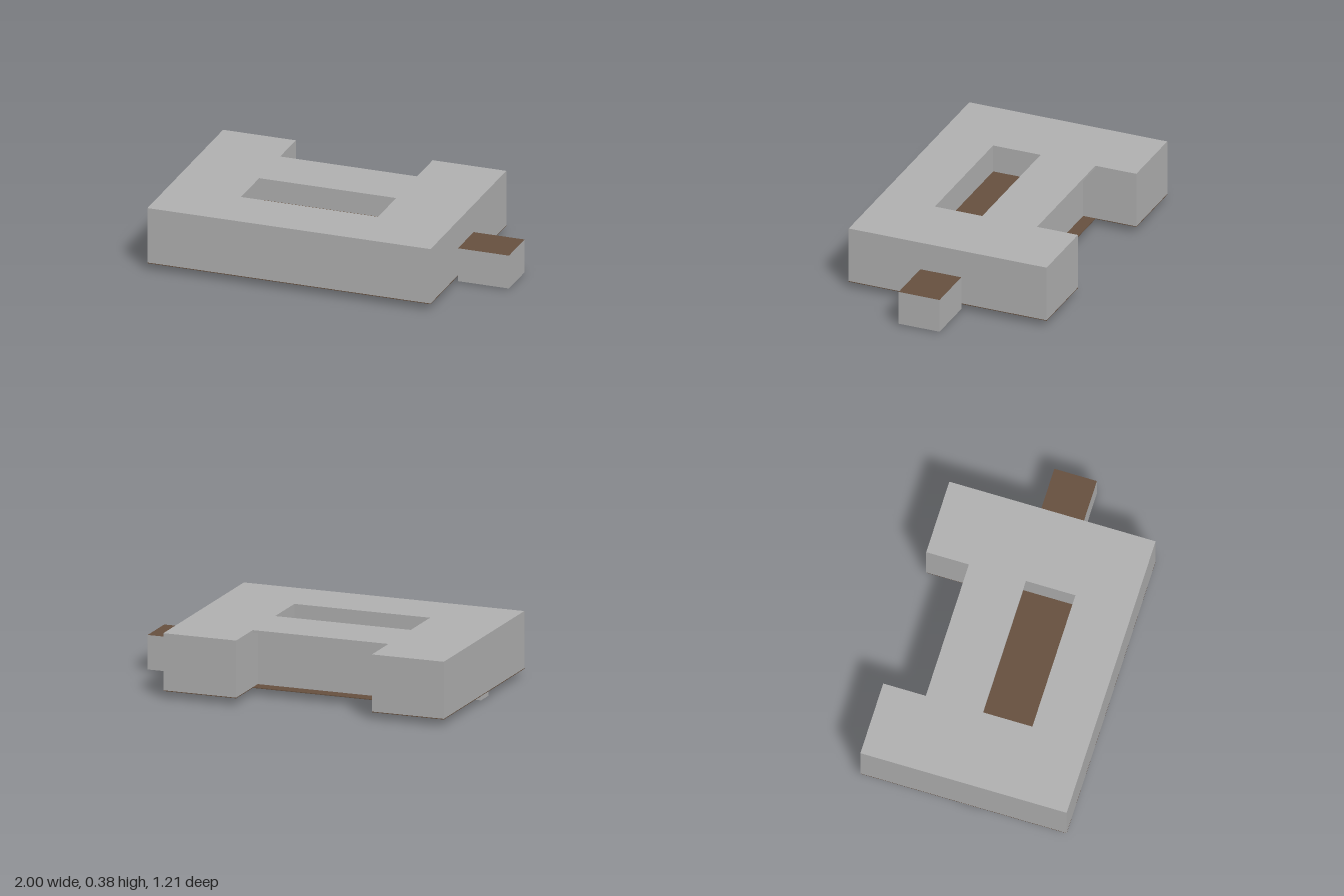
import * as THREE from 'three';

const grey = new THREE.MeshStandardMaterial({ color: 0xb0b0b0 });
grey.name = 'concrete grey';
const brown = new THREE.MeshStandardMaterial({ color: 0x66503f });
brown.name = 'ground brown';

// Plan dimensions
const LEFT = 0.695, RIGHT = -1, FRONT = 0.605, BACK = -0.605;
const COURT = { x0: -0.565, x1: 0.255, front: 0.27 };

// U-shaped plan with a recess in the back and an optional courtyard hole
function plan(recessZ, courtBackZ) {
  const p = (pts) => pts.map(([x, z]) => new THREE.Vector2(x, -z));
  const shape = new THREE.Shape(p([
    [RIGHT, FRONT], [LEFT, FRONT], [LEFT, BACK], [COURT.x1, BACK],
    [COURT.x1, recessZ], [COURT.x0, recessZ], [COURT.x0, BACK], [RIGHT, BACK],
  ]));
  if (courtBackZ !== undefined) {
    shape.holes.push(new THREE.Path(p([
      [COURT.x0, COURT.front], [COURT.x0, courtBackZ],
      [COURT.x1, courtBackZ], [COURT.x1, COURT.front],
    ])));
  }
  return shape;
}

export function createModel() {
  const model = new THREE.Group();
  model.name = 'courtyardBuilding';

  const storey = (name, shape, y0, y1, material) => {
    const geometry = new THREE.ExtrudeGeometry(shape, { depth: y1 - y0, bevelEnabled: false });
    geometry.rotateX(-Math.PI / 2);
    const mesh = new THREE.Mesh(geometry, material);
    mesh.position.y = y0;
    mesh.name = name;
    model.add(mesh);
  };

  const box = (name, [x0, x1], [y0, y1], [z0, z1], material) => {
    const mesh = new THREE.Mesh(new THREE.BoxGeometry(x1 - x0, y1 - y0, z1 - z0), material);
    mesh.position.set((x0 + x1) / 2, (y0 + y1) / 2, (z0 + z1) / 2);
    mesh.name = name;
    model.add(mesh);
  };

  // Base slab, walls set back under the roof along the rear corridor, and roof
  storey('baseSlab', plan(-0.355), 0.04, 0.044, brown);
  storey('walls', plan(-0.28, -0.096), 0.044, 0.36, grey);
  storey('roof', plan(-0.355, -0.02), 0.36, 0.375, grey);

  // Courtyard floor and the panel beneath it
  box('courtyardFloor', [COURT.x0, COURT.x1], [0.2, 0.212], [-0.096, COURT.front], brown);
  box('undersidePanel', [-0.565, 0.262], [0.037, 0.0405], [-0.09, 0.38], grey);

  // Side annex: grey walls with brown top and bottom (box face order: +x -x +y -y +z -z)
  const capped = [grey, grey, brown, brown, grey, grey];
  box('annex', [LEFT, 1], [0.008, 0.208], [-0.083, 0.167], capped);

  // Shallow pits under both wings, each with a small block below
  for (const [x0, x1] of [[-0.99, -0.785], [0.475, 0.68]]) {
    box('pit', [x0, x1], [0.008, 0.042], [-0.02, 0.09], [grey, grey, grey, brown, grey, grey]);
    const cx = (x0 + x1) / 2 + (x0 < 0 ? 0.04 : -0.04);
    box('pitBlock', [cx - 0.01, cx + 0.01], [0, 0.008], [-0.015, 0.03], grey);
    box('pitBlock', [cx - 0.01, cx + 0.01], [0, 0.008], [0.04, 0.085], grey);
  }

  return model;
}
